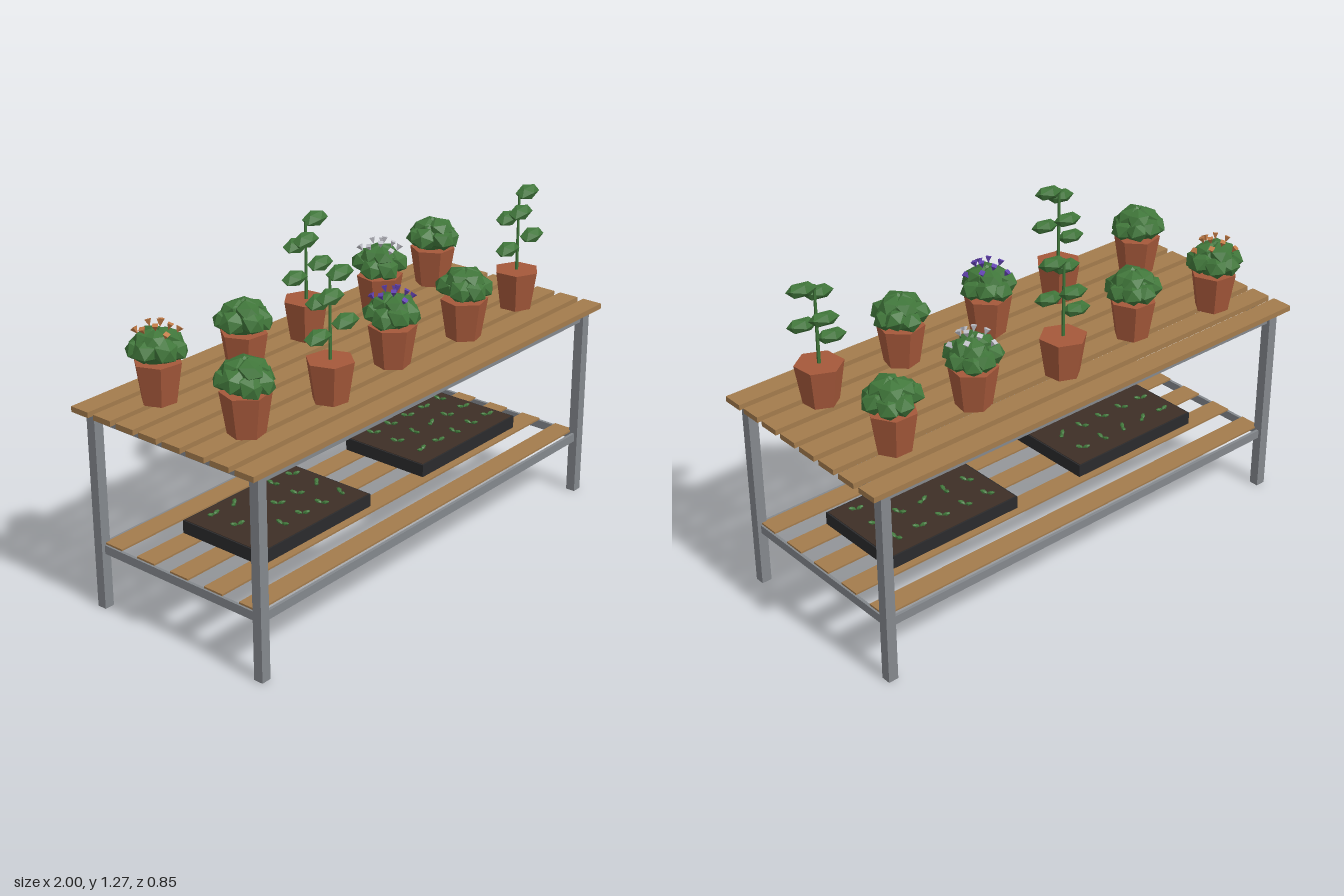
import * as THREE from 'three';

const mat = (name, color, flatShading = false) => {
  const m = new THREE.MeshStandardMaterial({ color, flatShading });
  m.name = name;
  return m;
};

export function createModel() {
  const root = new THREE.Group();
  root.name = 'pottingBench';
  const wood = mat('wood', 0xa37b4c);
  const steel = mat('steel', 0x84888d);
  const clay = mat('terracotta', 0xa5583a, true);
  const green = mat('leafGreen', 0x40763a, true);
  const trayBlack = mat('trayBlack', 0x2a2a2c);
  const soil = mat('soil', 0x3e2f26);
  const petals = {
    orange: mat('orangePetal', 0xc07a45, true),
    purple: mat('purplePetal', 0x6242b0, true),
    white: mat('palePetal', 0xc4c4cc, true),
  };

  let seed = 7;
  const rnd = () => {
    seed = (seed * 16807) % 2147483647;
    return seed / 2147483647;
  };

  const add = (parent, name, geo, material, x, y, z) => {
    const m = new THREE.Mesh(geo, material);
    m.name = name;
    m.position.set(x, y, z);
    parent.add(m);
    return m;
  };
  const box = (name, w, h, d, material, x, y, z) =>
    add(root, name, new THREE.BoxGeometry(w, h, d), material, x, y, z);

  // Table top and lower shelf slats
  for (let i = 0; i < 8; i++) box('topSlat', 2, 0.021, 0.083, wood, 0, 0.787, (i - 3.5) * 0.11);
  for (let i = 0; i < 5; i++) box('shelfSlat', 1.87, 0.007, 0.086, wood, 0, 0.259, (i - 2) * 0.163);

  // Legs and rails
  for (const s of [-1, 1]) {
    for (const t of [-1, 1]) box('leg', 0.04, 0.776, 0.038, steel, s * 0.935, 0.388, t * 0.383);
    box('topLongRail', 1.84, 0.04, 0.012, steel, 0, 0.755, s * 0.383);
    box('topSideRail', 0.012, 0.04, 0.74, steel, s * 0.935, 0.755, 0);
    box('shelfLongRail', 1.84, 0.034, 0.012, steel, 0, 0.237, s * 0.383);
    box('shelfSideRail', 0.012, 0.034, 0.74, steel, s * 0.935, 0.237, 0);
  }

  // Seed trays with rows of two-leaf seedlings
  const leafGeo = new THREE.IcosahedronGeometry(1, 0);
  const blob = (parent, name, x, y, z, sx, sy, sz, rx = 0, ry = 0, rz = 0) => {
    const m = add(parent, name, leafGeo, green, x, y, z);
    m.scale.set(sx, sy, sz);
    m.rotation.set(rx, ry, rz);
    return m;
  };
  for (const cx of [-0.426, 0.476]) {
    box('seedTray', 0.59, 0.05, 0.38, trayBlack, cx, 0.299, 0);
    box('traySoil', 0.578, 0.004, 0.368, soil, cx, 0.324, 0);
    for (let i = 0; i < 5; i++) for (let j = -1; j <= 1; j++) {
      const sprout = new THREE.Group();
      sprout.name = 'seedling';
      sprout.position.set(cx + (i - 2) * 0.106, 0.343, j * 0.118);
      sprout.rotation.y = rnd() * 3;
      for (const s of [-1, 1]) blob(sprout, 'seedlingLeaf', s * 0.014, 0, 0, 0.016, 0.007, 0.009, 0, 0, s * 0.3);
      root.add(sprout);
    }
  }

  // Bushy foliage: a core, an outer ring and a crown of leafy lumps
  const bush = (g) => {
    blob(g, 'bushCore', 0, 0.2, 0, 0.08, 0.07, 0.08);
    for (let i = 0; i < 7; i++) {
      const a = (i / 7) * Math.PI * 2 + rnd() * 0.4;
      blob(g, 'bushLeaf', Math.cos(a) * 0.06, 0.193 + rnd() * 0.015, Math.sin(a) * 0.06,
        0.056, 0.042, 0.05, rnd() * 0.5, -a, -0.35);
    }
    for (let i = 0; i < 4; i++) {
      const a = i * 1.57 + rnd();
      blob(g, 'crownLeaf', Math.cos(a) * 0.034, 0.237, Math.sin(a) * 0.034, 0.054, 0.034, 0.05, 0, -a, -0.25);
    }
  };

  // Small cone blossoms, opening outwards from the bush
  const bloom = (g, material) => {
    const cone = new THREE.ConeGeometry(0.014, 0.026, 4);
    for (let i = 0; i < 9; i++) {
      const a = i * 2.4, r = 0.025 + 0.007 * i;
      const f = add(g, 'blossom', cone, material, Math.cos(a) * r, 0.288 - r * r * 6.5, Math.sin(a) * r);
      const out = new THREE.Vector3(-Math.cos(a) * r * 9, -1, -Math.sin(a) * r * 9).normalize();
      f.quaternion.setFromUnitVectors(new THREE.Vector3(0, 1, 0), out);
    }
  };

  // Tall stem with alternating leaves
  const tall = (g) => {
    add(g, 'stem', new THREE.CylinderGeometry(0.005, 0.007, 0.31, 6), green, 0, 0.3, 0);
    [0.452, 0.4, 0.347, 0.293, 0.245].forEach((y, k) => {
      const a = k * 2.4;
      blob(g, 'stemLeaf', Math.cos(a) * 0.053, y, Math.sin(a) * 0.053, 0.062, 0.028, 0.034, 0.4, 0, 0.1);
    });
  };

  // Potted plants: x, z, kind, blossom colour
  const plants = [
    [-0.77, -0.23, 'bush', 'orange'], [-0.385, -0.187, 'bush'], [0, -0.23, 'tall'],
    [0.38, -0.187, 'bush', 'white'], [0.765, -0.23, 'bush'],
    [-0.77, 0.182, 'bush'], [-0.385, 0.218, 'tall'], [0, 0.182, 'bush', 'purple'],
    [0.38, 0.218, 'bush'], [0.765, 0.182, 'tall'],
  ];
  const potGeo = new THREE.CylinderGeometry(0.09, 0.066, 0.152, 6);
  for (const [x, z, kind, flower] of plants) {
    const g = new THREE.Group();
    g.name = 'pottedPlant';
    g.position.set(x, 0.797, z);
    add(g, 'pot', potGeo, clay, 0, 0.076, 0).rotation.y = rnd() * 1.05;
    if (kind === 'tall') tall(g);
    else bush(g);
    if (flower) bloom(g, petals[flower]);
    root.add(g);
  }
  return root;
}
